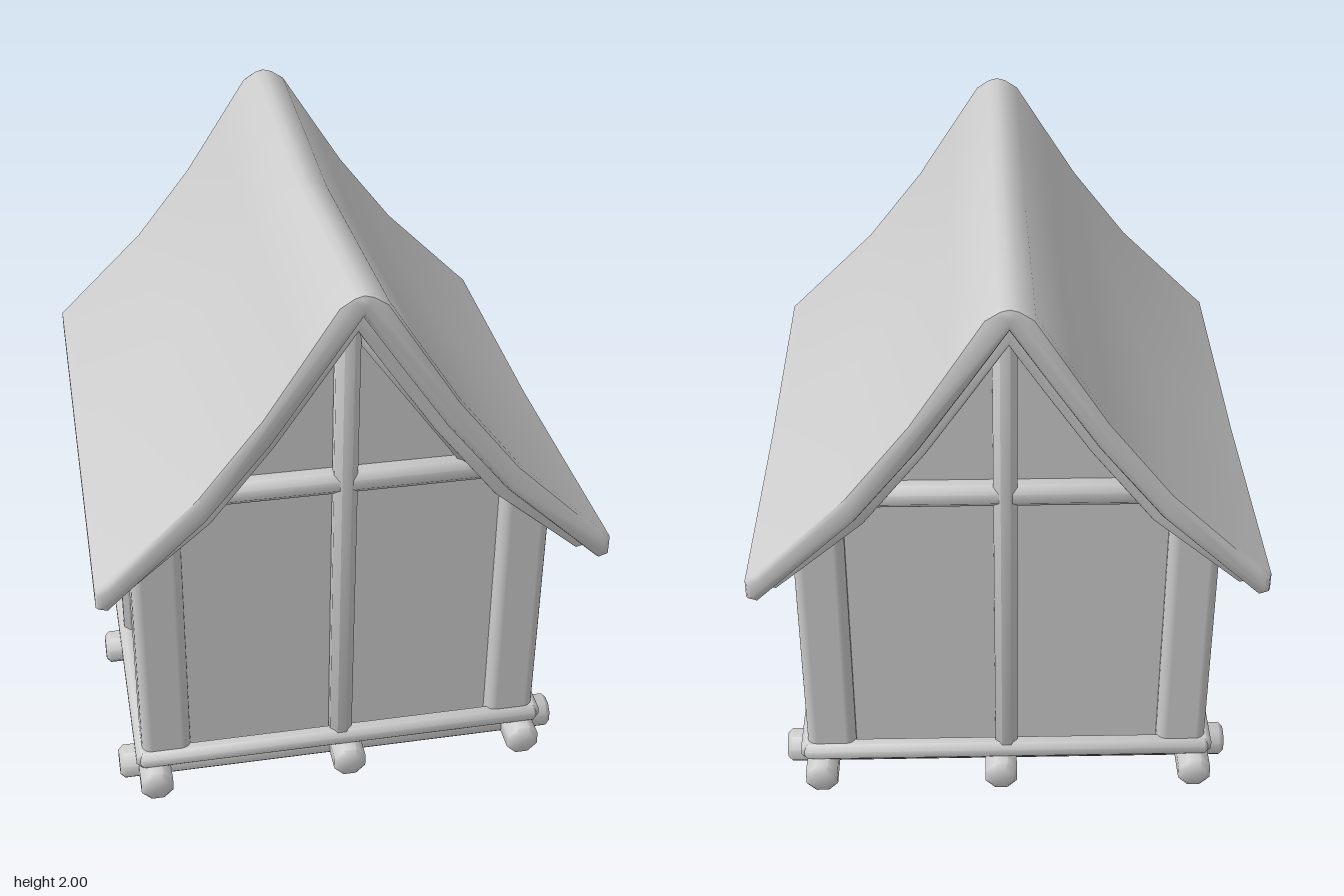
import * as THREE from 'three';
import { toCreasedNormals } from 'three/addons/utils/BufferGeometryUtils.js';
import { RoundedBoxGeometry } from 'three/addons/geometries/RoundedBoxGeometry.js';

const material = new THREE.MeshStandardMaterial({ color: 0xcccccc });

export function createModel() {
  const model = new THREE.Group();
  const add = (name, geometry) => {
    const mesh = new THREE.Mesh(geometry, material);
    mesh.name = name;
    model.add(mesh);
    return mesh;
  };

  // Round timber between two points, with a small chamfer at both ends
  const timber = (name, a, b, r, chamfer = 0.012) => {
    const from = new THREE.Vector3(...a), to = new THREE.Vector3(...b);
    const h = from.distanceTo(to) / 2;
    const profile = [[0, -h], [r - chamfer, -h], [r, -h + chamfer], [r, h - chamfer], [r - chamfer, h], [0, h]];
    const lathe = new THREE.LatheGeometry(profile.map(p => new THREE.Vector2(...p)), 8, Math.PI / 8);
    const mesh = add(name, toCreasedNormals(lathe, 0.85));
    mesh.position.copy(from).add(to).multiplyScalar(0.5);
    mesh.quaternion.setFromUnitVectors(new THREE.Vector3(0, 1, 0), to.sub(from).normalize());
  };

  // Closed shape from its right half, listed from top centre to bottom centre
  const mirrored = half => new THREE.Shape([
    ...half,
    ...half.filter(p => p[0] > 0).map(([x, y]) => [-x, y]).reverse(),
  ].map(p => new THREE.Vector2(...p)));

  // Roof layers: thick bent sheet whose ridge sags towards the middle
  const roofLayer = (name, half, halfDepth, bevel) => {
    const geometry = new THREE.ExtrudeGeometry(mirrored(half), {
      depth: 2 * (halfDepth - bevel), steps: 2, bevelEnabled: true,
      bevelThickness: bevel, bevelSize: bevel, bevelOffset: -bevel, bevelSegments: 2,
    });
    geometry.translate(0, 0, bevel - halfDepth);
    const pos = geometry.attributes.position;
    for (let i = 0; i < pos.count; i++) {
      const y = pos.getY(i);
      let z = pos.getZ(i);
      if (Math.abs(z) < 0.1) pos.setZ(i, z = -0.03);
      const middle = 1 - Math.abs(z + 0.03) / (z > -0.03 ? 0.965 : 0.905);
      const height = THREE.MathUtils.clamp(y - 1, 0, 1);
      pos.setY(i, y - (0.02 + 0.042 * height) * middle);
    }
    add(name, toCreasedNormals(geometry, 0.8));
  };
  roofLayer('roof', [
    [0, 2], [0.03, 1.992], [0.075, 1.963], [0.18, 1.8], [0.3, 1.615], [0.5, 1.36], [0.79, 1.075], [0.822, 1.045],
    [0.822, 0.985], [0.785, 0.972], [0.47, 1.27], [0.27, 1.52], [0.12, 1.74], [0, 1.92],
  ], 0.938, 0.022);
  roofLayer('roofLining', [
    [0, 1.95], [0.12, 1.77], [0.27, 1.55], [0.47, 1.3], [0.765, 1.01],
    [0.765, 0.978], [0.735, 0.97], [0.45, 1.215], [0.25, 1.47], [0.1, 1.69], [0, 1.84],
  ], 0.86, 0.008);

  // Walls with gable ends
  const wallShape = mirrored([
    [0, 1.82], [0.1, 1.68], [0.25, 1.46], [0.45, 1.22], [0.65, 1.05], [0.65, 0.1], [0, 0.1],
  ]);
  add('walls', new THREE.ExtrudeGeometry(wallShape, { depth: 1.3, bevelEnabled: false }).translate(0, 0, -0.65));

  // Corner posts and side mid-posts
  for (const x of [-1, 1]) {
    for (const z of [-1, 1]) {
      const post = add('cornerPost', new RoundedBoxGeometry(0.17, 1.05, 0.17, 3, 0.035));
      post.position.set(0.615 * x, 0.625, 0.613 * z);
    }
    timber('sidePost', [0.665 * x, 0.1, -0.02], [0.665 * x, 1.06, 0], 0.042);
  }

  // Gable framing: king post, tie beam and rafters on both ends
  for (const z of [-1, 1]) {
    timber('kingPost', [0, 0.1, 0.672 * z], [0.008, 1.84, 0.672 * z], 0.042);
    timber('tieBeam', [-0.53, 1.195, 0.665 * z], [0.53, 1.195, 0.665 * z], 0.044);
    for (const x of [-1, 1]) {
      timber('gableRafter', [0.44 * x, 1.21, 0.655 * z], [0.015 * x, 1.8, 0.655 * z], 0.042);
    }
  }

  // Sill frame around the floor
  for (const s of [-1, 1]) {
    timber('sillBeam', [-0.71, 0.127, 0.69 * s], [0.71, 0.127, 0.69 * s], 0.036);
    timber('sillBeam', [0.69 * s, 0.127, -0.71], [0.69 * s, 0.127, 0.71], 0.036);
  }

  // Crossed foundation logs
  for (const x of [-0.66, 0.02, 0.65]) {
    timber('foundationLog', [x, 0.056, -0.775], [x, 0.056, 0.775], 0.06, 0.016);
  }
  for (const z of [0.62, -0.015, -0.59]) {
    timber('foundationLog', [-0.78, 0.06, z], [0.78, 0.06, z], 0.061, 0.016);
  }
  return model;
}
